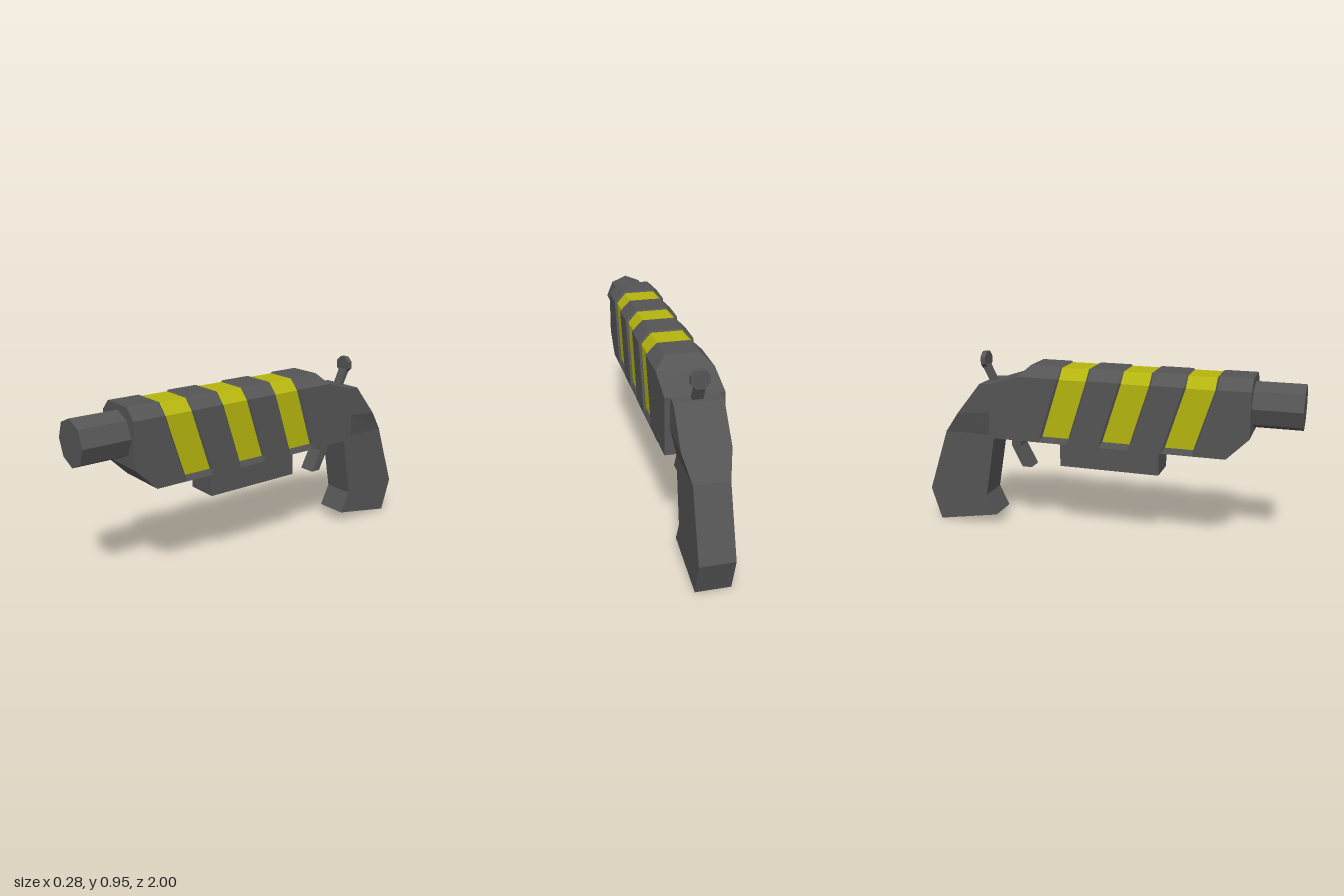
import * as THREE from 'three';

const gray = new THREE.MeshStandardMaterial({ color: 0x555555 });
gray.name = 'gunmetal gray';
const yellow = new THREE.MeshStandardMaterial({ color: 0xb5b50f });
yellow.name = 'stripe yellow';
const brass = new THREE.MeshStandardMaterial({ color: 0xa8651a });
brass.name = 'shell brown';

function part(name, geometry, material = gray) {
  const mesh = new THREE.Mesh(geometry, material);
  mesh.name = name;
  return mesh;
}

// Mirrors a half section [x, y, z] over x = 0 into a closed ring
const mirrored = (half) => [...half, ...half.slice().reverse().map(([x, y, z]) => [-x, y, z])];

// Skins closed rings with flat faces; paint(i, j) gives the material slot of a face
function loft(rings, paint = () => 0) {
  const slots = [[], []];
  const n = rings[0].length;
  const tri = (slot, ...pts) => pts.forEach((p) => slots[slot].push(...p));
  for (let i = 0; i < rings.length - 1; i++) {
    for (let j = 0; j < n; j++) {
      const k = (j + 1) % n, s = paint(i, j);
      const a = rings[i][j], b = rings[i][k], c = rings[i + 1][k], d = rings[i + 1][j];
      tri(s, a, d, c);
      tri(s, a, c, b);
    }
  }
  const last = rings[rings.length - 1];
  for (let j = 1; j < n - 1; j++) {
    tri(0, rings[0][0], rings[0][j], rings[0][j + 1]);
    tri(0, last[0], last[j + 1], last[j]);
  }
  const g = new THREE.BufferGeometry();
  g.setAttribute('position', new THREE.Float32BufferAttribute(slots.flat(), 3));
  g.addGroup(0, slots[0].length / 3, 0);
  g.addGroup(slots[0].length / 3, slots[1].length / 3, 1);
  g.computeVertexNormals();
  return g;
}

// Faceted cylinder lying along z
function prism(rFront, rBack, z0, z1, y, sides, turn = 0) {
  const g = new THREE.CylinderGeometry(rFront, rBack, z1 - z0, sides).toNonIndexed();
  g.rotateY(turn).rotateX(Math.PI / 2).translate(0, y, (z0 + z1) / 2);
  g.computeVertexNormals();
  return g;
}

// Side profile of [z, y] points extruded across x
function sidePlate(points, width) {
  const shape = new THREE.Shape(points.map(([z, y]) => new THREE.Vector2(-z, y)));
  const g = new THREE.ExtrudeGeometry(shape, { depth: width, bevelEnabled: false });
  return g.translate(0, 0, -width / 2).rotateY(Math.PI / 2);
}

// Receiver with three slanted, recessed stripes
function receiver() {
  const slant = (z, y) => z - 0.108 * Math.max(0, (0.855 - y) / 0.34);
  const outer = (z) => [[0.14, 0.515], [0.14, 0.545], [0.14, 0.855], [0.085, 0.91]]
    .map(([x, y]) => [x, y, slant(z, y)]);
  const inset = (z) => [[0.14, 0.515], [0.128, 0.545], [0.128, 0.85], [0.08, 0.904]]
    .map(([x, y]) => [x, y, slant(z, y)]);
  const halves = [
    [[0.14, 0.625, 0.76], [0.14, 0.65, 0.76], [0.14, 0.855, 0.76], [0.085, 0.91, 0.76]],
    [[0.14, 0.515, 0.65], [0.14, 0.545, 0.65], [0.14, 0.855, 0.7], [0.085, 0.91, 0.7]],
  ];
  const painted = new Set();
  for (const z of [0.597, 0.272, -0.054]) {
    painted.add(halves.length + 1);
    halves.push(outer(z), inset(z - 0.01), inset(z - 0.153), outer(z - 0.163));
  }
  halves.push(
    [[0.14, 0.515, -0.45], [0.14, 0.545, -0.45], [0.14, 0.855, -0.425], [0.085, 0.91, -0.375]],
    [[0.14, 0.515, -0.47], [0.14, 0.545, -0.47], [0.14, 0.853, -0.435], [0.085, 0.853, -0.435]],
    [[0.14, 0.515, -0.6], [0.14, 0.545, -0.6], [0.14, 0.8, -0.6], [0.085, 0.8, -0.6]],
  );
  return loft(halves.map(mirrored), (i, j) => (painted.has(i) && j >= 1 && j <= 5 ? 1 : 0));
}

// Grip rings from top to bottom: front z, front y, rear z, rear y, half width
function grip() {
  const rings = [
    [-0.598, 0.8, -0.66, 0.797, 0.115],
    [-0.598, 0.65, -0.795, 0.63, 0.115],
    [-0.6, 0.515, -0.885, 0.515, 0.085],
    [-0.66, 0.17, -1, 0.175, 0.085],
    [-0.605, 0.06, -0.945, 0, 0.085],
  ];
  return loft(rings.map(([zf, yf, zr, yr, w]) => mirrored([[w, yf, zf], [w, yr, zr]])));
}

// Rectangle path centred on the origin
function rect(Type, w, h) {
  return new Type([[-w, -h], [w, -h], [w, h], [-w, h]].map(([x, y]) => new THREE.Vector2(x, y)));
}

// Open-bottomed loading port under the receiver
function loadingPort() {
  const frame = rect(THREE.Shape, 0.085, 0.265);
  frame.holes.push(rect(THREE.Path, 0.06, 0.235));
  const g = new THREE.ExtrudeGeometry(frame, { depth: 0.136, bevelEnabled: false });
  return g.rotateX(-Math.PI / 2).translate(0, 0.38, 0.04);
}

export function createModel() {
  const model = new THREE.Group();
  model.name = 'shotgun';
  model.add(
    part('receiver', receiver(), [gray, yellow]),
    part('barrel', prism(0.115, 0.115, 0.755, 1, 0.767, 8)),
    part('grip', grip(), [gray, yellow]),
    part('loadingPort', loadingPort()),
    part('trigger', sidePlate([[-0.465, 0.52], [-0.465, 0.455], [-0.405, 0.342],
      [-0.458, 0.342], [-0.517, 0.455], [-0.517, 0.52]], 0.09)),
  );

  // Shell seen inside the loading port
  const shell = new THREE.Group();
  shell.name = 'shell';
  shell.add(
    part('shellCase', prism(0.05, 0.05, -0.17, 0.12, 0.45, 8), brass),
    part('shellTip', prism(0.035, 0.042, 0.12, 0.25, 0.45, 8), brass),
  );

  // Hammer with octagonal thumb pad
  const hammer = new THREE.Group();
  hammer.name = 'hammer';
  hammer.add(
    part('hammerStem', sidePlate([[-0.608, 0.79], [-0.636, 0.79], [-0.68, 0.875], [-0.655, 0.885]], 0.05)),
    part('hammerPad', prism(0.0475, 0.0475, -0.681, -0.655, 0.907, 8, Math.PI / 8)),
  );
  model.add(shell, hammer);
  return model;
}
